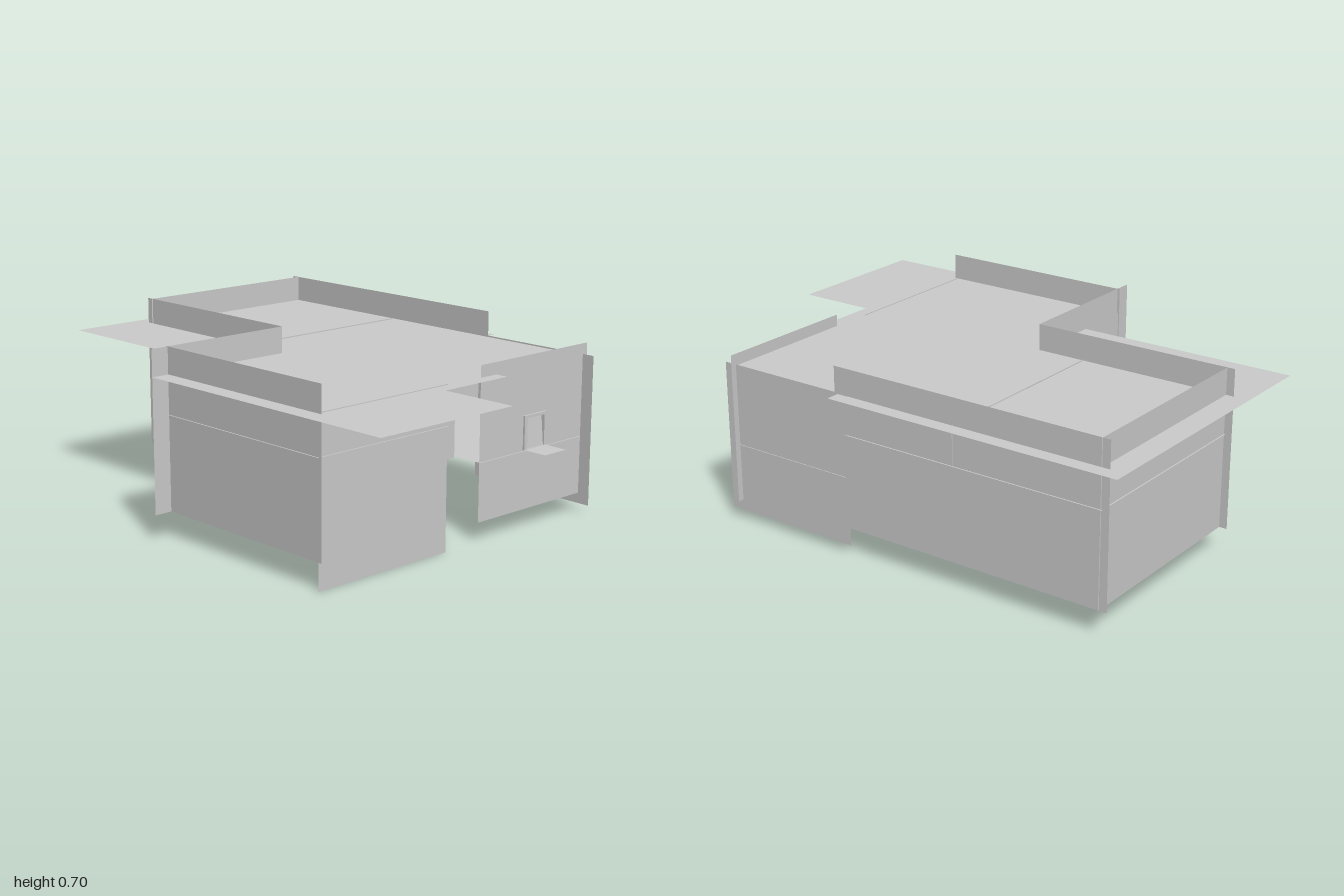
import * as THREE from 'three';

const material = new THREE.MeshStandardMaterial({ color: 0xcccccc, side: THREE.DoubleSide });

export function createModel() {
  const house = new THREE.Group();
  house.name = 'house';

  const add = (name, geometry) => {
    const mesh = new THREE.Mesh(geometry, material);
    mesh.name = name;
    house.add(mesh);
    return mesh;
  };

  // Sheet from a shape drawn in x and y, with optional rectangular hole
  const sheet = (points, hole) => {
    const toVec = ([a, b]) => new THREE.Vector2(a, b);
    const shape = new THREE.Shape(points.map(toVec));
    if (hole) shape.holes.push(new THREE.Path(hole.map(toVec)));
    return new THREE.ShapeGeometry(shape);
  };
  const rect = (a0, a1, b0, b1) => [[a0, b0], [a1, b0], [a1, b1], [a0, b1]];

  // Wall facing front or back
  const wallZ = (name, z, x0, x1, y0, y1, hole) =>
    add(name, sheet(rect(x0, x1, y0, y1), hole).translate(0, 0, z));

  // Wall facing sideways
  const wallX = (name, x, z0, z1, y0, y1) =>
    add(name, sheet(rect(-z1, -z0, y0, y1)).rotateY(Math.PI / 2).translate(x, 0, 0));

  // Horizontal slab outlined in x and z
  const slab = (name, y, outline) =>
    add(name, sheet(outline.map(([x, z]) => [x, -z])).rotateX(-Math.PI / 2).translate(0, y, 0));

  // Roof with overhangs
  slab('roof', 0.6, [
    [-0.42, -1], [0.715, -1], [0.715, 0.17], [0.66, 0.17], [0.66, 0.65], [0.19, 0.65],
    [0.19, 0.7], [-0.12, 0.7], [-0.12, 1], [-0.72, 1], [-0.72, -0.13], [-0.42, -0.13],
  ]);

  // Floors
  slab('mainFloor', 0.455, [
    [-0.125, -0.915], [0.665, -0.915], [0.665, 0.14], [-0.05, 0.14],
    [-0.05, 0.65], [-0.655, 0.65], [-0.655, -0.135], [-0.125, -0.135],
  ]);
  slab('frontRoomFloor', 0.295, [
    [-0.05, 0.14], [0.665, 0.14], [0.665, 0.655], [0.11, 0.655], [0.11, 0.53], [-0.05, 0.53],
  ]);

  // Outer walls, rising above the roof as parapets
  wallZ('backWall', -0.91, -0.125, 0.665, 0.1, 0.7);
  wallX('backWingSideWall', -0.12, -0.94, -0.13, 0.1, 0.7);
  wallZ('leftWingBackWall', -0.13, -0.72, -0.12, 0.1, 0.7);
  wallX('leftWingSideWall', -0.65, -0.14, 0.66, 0.1, 0.7);
  wallX('longSideWall', 0.66, -0.94, 0.185, 0.1, 0.7);
  wallX('frontRoomSideWall', 0.662, 0.13, 0.7, 0.035, 0.605);
  wallZ('leftWingFrontWall', 0.645, -0.65, -0.05, 0, 0.603);
  wallZ('frontRoomFrontWall', 0.65, 0.11, 0.685, 0.075, 0.645, rect(0.355, 0.447, 0.3, 0.415));

  // Inner walls
  wallZ('partition', -0.325, -0.13, 0.664, 0.45, 0.604);
  wallZ('upperBackWall', -0.136, -0.65, -0.3, 0.45, 0.604);
  wallZ('stepWall', 0.14, -0.05, 0.66, 0.295, 0.6);
  wallX('entrySideWall', -0.05, 0.14, 0.53, 0.295, 0.6);
  wallZ('entryWall', 0.53, -0.05, 0.11, 0.29, 0.6);

  // Window with a projecting sill, a shallow frame and a pane
  slab('windowSill', 0.3, rect(0.34, 0.455, 0.65, 0.755));
  const frame = new THREE.Shape(rect(0.34, 0.457, 0.298, 0.426).map(p => new THREE.Vector2(...p)));
  frame.holes.push(new THREE.Path(rect(0.355, 0.447, 0.301, 0.415).map(p => new THREE.Vector2(...p))));
  add('windowFrame', new THREE.ExtrudeGeometry(frame, { depth: 0.01, bevelEnabled: false })
    .translate(0, 0, 0.648));
  const pane = add('windowPane', new THREE.PlaneGeometry(0.092, 0.115));
  pane.position.set(0.401, 0.358, 0.648);
  pane.rotation.x = -0.1;

  return house;
}
